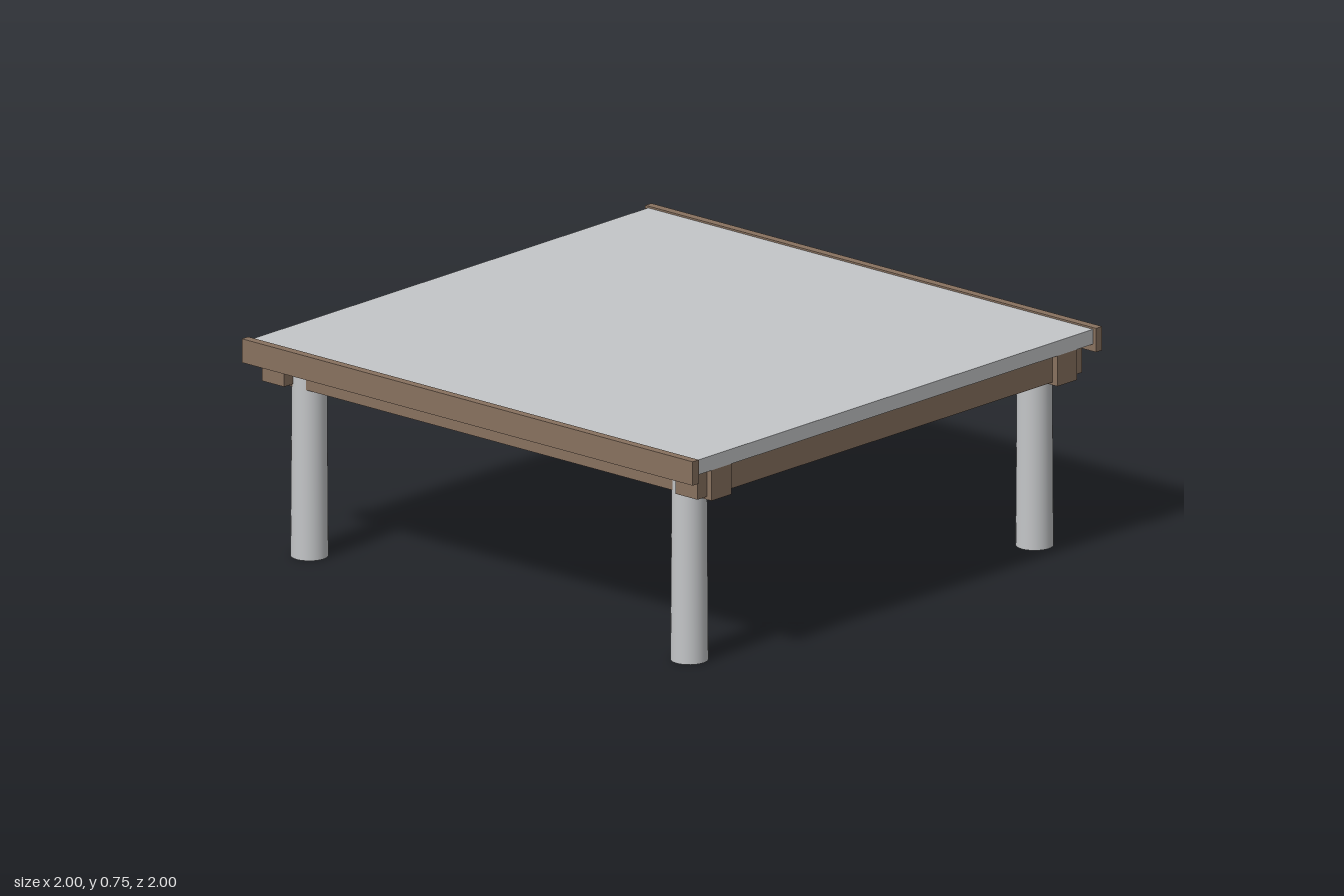
import * as THREE from 'three';

export function createModel() {
  const model = new THREE.Group();
  model.name = 'shelter';

  const timber = new THREE.MeshStandardMaterial({ color: 0x88715f });
  timber.name = 'brown timber';
  const grey = new THREE.MeshStandardMaterial({ color: 0xc4c6c8 });
  grey.name = 'light grey';

  // Box given by its extents in x, y and z
  function box(name, material, [x0, x1], [y0, y1], [z0, z1]) {
    const mesh = new THREE.Mesh(new THREE.BoxGeometry(x1 - x0, y1 - y0, z1 - z0), material);
    mesh.position.set((x0 + x1) / 2, (y0 + y1) / 2, (z0 + z1) / 2);
    mesh.name = name;
    model.add(mesh);
  }

  const underside = 0.692;
  const span = (a, b, s) => (s > 0 ? [a, b] : [-b, -a]);

  // Flat top panel between the two edge boards
  box('topPanel', grey, [-0.987, 0.987], [underside, 0.743], [-0.97, 0.97]);

  for (const s of [1, -1]) {
    const end = s > 0 ? 'front' : 'back';
    const side = s > 0 ? 'left' : 'right';
    // Edge boards and cross beams along x
    box(end + 'EdgeBoard', timber, [-1, 1], [0.667, 0.749], span(0.97, 1, s));
    box(end + 'Beam', timber, [-0.987, 0.987], [0.587, underside], span(0.796, 0.893, s));
    // Side beams along z, crossing the others at the corners
    box(side + 'Beam', timber, span(0.868, 0.966, s), [0.597, underside], [-0.939, 0.939]);
  }

  // Slightly tapered round legs, let into the beams
  const legGeometry = new THREE.CylinderGeometry(0.058, 0.0625, underside, 32);
  for (const sx of [1, -1]) {
    for (const sz of [1, -1]) {
      const leg = new THREE.Mesh(legGeometry, grey);
      leg.position.set(sx * 0.843, underside / 2, sz * 0.843);
      leg.name = (sz > 0 ? 'front' : 'back') + (sx > 0 ? 'Left' : 'Right') + 'Leg';
      model.add(leg);
    }
  }

  return model;
}
